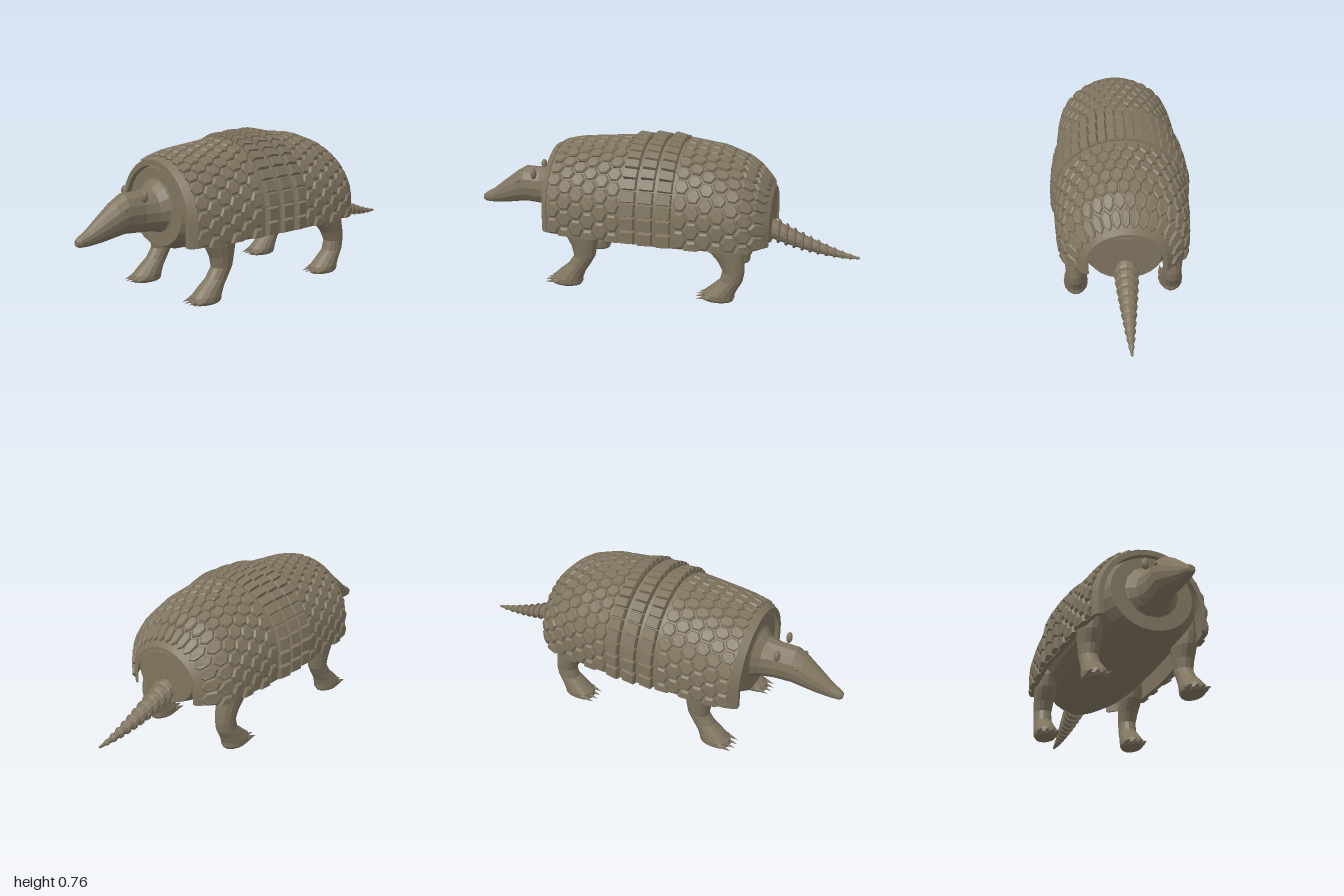
import * as THREE from 'three';
import { mergeGeometries } from 'three/addons/utils/BufferGeometryUtils.js';

const hide = new THREE.MeshStandardMaterial({ color: 0x7f745f });
hide.name = 'hideBrown';

const V = (x, y, z) => new THREE.Vector3(x, y, z);

// Closed faceted solid through a list of equal-length rings
function loft(rings) {
  const n = rings[0].length, pos = [];
  const tri = (a, b, c) => pos.push(...a.toArray(), ...b.toArray(), ...c.toArray());
  const quad = (a, b, c, d) => { tri(a, b, c); tri(a, c, d); };
  for (let k = 0; k < rings.length - 1; k++) {
    const A = rings[k], B = rings[k + 1];
    for (let i = 0; i < n; i++) {
      const j = (i + 1) % n;
      quad(A[i], A[j], B[j], B[i]);
    }
  }
  const first = rings[0], last = rings[rings.length - 1];
  for (let i = 0; i < n / 2 - 1; i++) {
    const p = n - 1 - i;
    quad(first[i], first[p], first[p - 1], first[i + 1]);
    quad(last[i], last[i + 1], last[p - 1], last[p]);
  }
  // Turn the faces outward
  let volume = 0;
  for (let i = 0; i < pos.length; i += 9) {
    volume += V(...pos.slice(i, i + 3)).dot(V(...pos.slice(i + 3, i + 6)).cross(V(...pos.slice(i + 6, i + 9))));
  }
  if (volume < 0) {
    for (let i = 0; i < pos.length; i += 9) {
      for (let k = 3; k < 6; k++) [pos[i + k], pos[i + k + 3]] = [pos[i + k + 3], pos[i + k]];
    }
  }
  const g = new THREE.BufferGeometry();
  g.setAttribute('position', new THREE.Float32BufferAttribute(pos, 3));
  g.computeVertexNormals();
  return g;
}

// Elliptical rings: upright ones facing z, or level ones facing y
const ring = (n, fn) => Array.from({ length: n }, (_, i) => {
  const a = (i / n) * Math.PI * 2;
  return fn(Math.cos(a), Math.sin(a));
});
const zRings = (rows, n) => rows.map(([z, y, rx, ry]) => ring(n, (c, s) => V(rx * c, y + ry * s, z)));
const yRings = (rows, x, n) => rows.map(([y, z, rx, rz]) => ring(n, (c, s) => V(x + rx * c, y, z + rz * s)));

// Shell profile: z, top height, half width
const PROFILE = [
  [0.57, 0.655, 0.26], [0.53, 0.67, 0.285], [0.45, 0.69, 0.295], [0.3, 0.705, 0.305], [0.14, 0.72, 0.312],
  [0, 0.73, 0.325], [-0.11, 0.725, 0.325], [-0.3, 0.7, 0.315], [-0.42, 0.655, 0.303], [-0.47, 0.62, 0.285],
  [-0.52, 0.57, 0.245], [-0.565, 0.515, 0.19],
];
const BASE = 0.283;

function profile(z) {
  let i = 0;
  while (i < PROFILE.length - 2 && z < PROFILE[i + 1][0]) i++;
  const [za, ta, wa] = PROFILE[i], [zb, tb, wb] = PROFILE[i + 1];
  const f = (z - za) / (zb - za);
  return [ta + (tb - ta) * f, wa + (wb - wa) * f];
}

// Arched shell surface; v runs -1..1 from one lower edge to the other
function arch(v, z) {
  const [top, w] = profile(z);
  const yc = BASE + 0.25 * (top - BASE);
  const th = v * (Math.PI / 2 + (yc - BASE) / w), a = Math.abs(th);
  if (a > Math.PI / 2) return V(Math.sign(v) * w, yc - (a - Math.PI / 2) * w, z);
  return V(w * Math.sin(th), yc + (top - yc) * Math.cos(th), z);
}

function onShell(v, z, off) {
  const dz = arch(v, z + 0.015).sub(arch(v, z - 0.015));
  const dv = arch(v + 0.01, z).sub(arch(v - 0.01, z));
  return arch(v, z).addScaledVector(dz.cross(dv).normalize(), off);
}

// Arched layer of the shell between two offsets
function shellLayer(zs, inner, outer, steps = 44) {
  const vs = Array.from({ length: steps + 1 }, (_, i) => -1 + (2 * i) / steps);
  const flat = (v, z, off) => onShell(v, z, off).setZ(z);
  return loft(zs.map((z) => [
    ...vs.map((v) => flat(v, z, outer)),
    ...vs.slice().reverse().map((v) => flat(v, z, inner)),
  ]));
}

// Plates grow larger toward the lower edges
const spread = (q) => q * (0.78 + 0.22 * q * q);
const clamp = THREE.MathUtils.clamp;

// Bevelled plate from an outline in shell coordinates
function plate(q, z, outline, zMin, zMax, height, topScale) {
  const level = (scale, h) => outline.map(([dq, dz]) => onShell(
    spread(clamp(q + dq * scale, -1, 1)), clamp(z + dz * scale, zMin, zMax), h(dz)));
  return loft([level(1, () => -0.008), level(1, (d) => height(d) * 0.45), level(topScale, height)]);
}

// Staggered hexagonal plates over one end of the shell
function hexField(z0, rows, spacing, zMin, zMax) {
  const list = [], count = 17, dq = 2 / count;
  const hex = [90, 150, 210, 270, 330, 30].map((d) => {
    const a = (d * Math.PI) / 180;
    return [Math.cos(a) * dq * 0.52, Math.sin(a) * spacing * 0.61];
  });
  for (let r = 0; r < rows; r++) {
    const odd = r % 2;
    for (let i = 0; i < count + odd; i++) {
      const q = -1 + dq * (i + (odd ? 0 : 0.5));
      list.push(plate(q, z0 - r * spacing, hex, zMin, zMax, () => 0.014, 0.78));
    }
  }
  return mergeGeometries(list);
}

// One ring of square plates, tipped up toward the front
function bandPlates(z) {
  const list = [], count = 23, h = 0.9 / count;
  const box = [[-h, -0.035], [h, -0.035], [h, 0.035], [-h, 0.035]];
  for (let i = 0; i < count; i++) {
    list.push(plate(-1 + (2 * (i + 0.5)) / count, z, box, -1, 1, (d) => 0.025 + d * 0.15, 0.86));
  }
  return mergeGeometries(list);
}

export function createModel() {
  const model = new THREE.Group();
  model.name = 'armadillo';
  const add = (name, geometry, parent = model) => {
    const mesh = new THREE.Mesh(geometry, hide);
    mesh.name = name;
    parent.add(mesh);
    return mesh;
  };
  const blob = (name, r, sx, sy, sz, x, y, z, parent = model) => {
    const mesh = add(name, new THREE.SphereGeometry(r, 10, 8), parent);
    mesh.scale.set(sx, sy, sz);
    mesh.position.set(x, y, z);
    return mesh;
  };

  // Soft body under the armour
  add('body', loft(zRings([
    [0.56, 0.435, 0.205, 0.19], [0.5, 0.432, 0.25, 0.205], [0.3, 0.43, 0.275, 0.21], [0, 0.43, 0.285, 0.213],
    [-0.3, 0.425, 0.28, 0.205], [-0.42, 0.415, 0.26, 0.185], [-0.5, 0.4, 0.225, 0.16], [-0.56, 0.37, 0.165, 0.125],
  ], 24)));

  // Armour
  add('shell', shellLayer(PROFILE.map((p) => p[0]), -0.02, 0));
  add('frontRim', shellLayer([0.57, 0.54], -0.022, 0.007));
  add('rearRim', shellLayer([-0.545, -0.565], -0.022, 0.006));
  add('frontPlates', hexField(0.5, 6, 0.0625, 0.15, 0.532));
  add('rearPlates', hexField(-0.15, 7, 0.0605, -0.545, -0.118));
  [0.105, 0.015, -0.075].forEach((z, i) => add('bandPlates' + (i + 1), bandPlates(z)));

  // Head with flared neck and tapering snout
  const head = new THREE.Group();
  head.name = 'head';
  model.add(head);
  add('skull', loft(zRings([
    [0.54, 0.455, 0.168, 0.165], [0.565, 0.442, 0.125, 0.125], [0.6, 0.43, 0.095, 0.105], [0.66, 0.428, 0.075, 0.099],
    [0.75, 0.432, 0.073, 0.096], [0.8, 0.413, 0.066, 0.085], [0.87, 0.38, 0.05, 0.064], [0.94, 0.348, 0.033, 0.039],
    [0.985, 0.335, 0.024, 0.025], [1, 0.333, 0.014, 0.015],
  ], 14)), head);
  for (const s of [1, -1]) {
    blob('ear', 0.03, 0.66, 1, 0.5, s * 0.08, 0.515, 0.68, head);
    blob('eye', 0.01, 0.9, 1, 1.1, s * 0.07, 0.465, 0.775, head);
    blob('nostril', 0.006, 1, 1, 1, s * 0.013, 0.343, 0.99, head);
  }

  // Ringed tail
  const tailRows = [[-0.54, 0.312, 0.057, 0.057]];
  const joints = 11;
  for (let i = 0; i < joints; i++) {
    const at = (f, k) => {
      const t = (i + f) / joints, r = (0.05 * (1 - t) ** 0.85 + 0.004) * k;
      return [-0.56 - 0.44 * t, 0.188 + 0.118 * (1 - t) ** 1.5, r, r];
    };
    tailRows.push(at(0.05, 0.95), at(0.65, 0.95), at(0.7, 1.22), at(0.93, 1.17));
  }
  tailRows.push([-1, 0.188, 0.001, 0.001]);
  add('tail', loft(zRings(tailRows, 12)));

  // Legs: height, z, half width, half depth
  const frontRows = [
    [0.4, 0.37, 0.05, 0.09], [0.33, 0.37, 0.058, 0.095], [0.27, 0.367, 0.058, 0.086], [0.21, 0.357, 0.051, 0.065],
    [0.16, 0.357, 0.046, 0.055], [0.11, 0.388, 0.047, 0.057], [0.07, 0.425, 0.054, 0.068], [0.035, 0.45, 0.061, 0.08],
    [0.012, 0.455, 0.06, 0.083], [0, 0.455, 0.05, 0.076],
  ];
  const hindRows = [
    [0.4, -0.34, 0.05, 0.09], [0.33, -0.345, 0.058, 0.097], [0.27, -0.36, 0.058, 0.088], [0.21, -0.393, 0.051, 0.066],
    [0.16, -0.408, 0.046, 0.055], [0.11, -0.398, 0.047, 0.057], [0.07, -0.365, 0.054, 0.068], [0.035, -0.337, 0.061, 0.08],
    [0.012, -0.333, 0.06, 0.083], [0, -0.333, 0.05, 0.076],
  ];
  for (const [name, rows, toeZ] of [['frontLeg', frontRows, 0.51], ['hindLeg', hindRows, -0.278]]) {
    for (const s of [1, -1]) {
      const leg = new THREE.Group();
      leg.name = name + (s > 0 ? 'Left' : 'Right');
      model.add(leg);
      add('limb', loft(yRings(rows, s * 0.24, 14)), leg);
      // Toes and claws
      for (const d of [-0.045, -0.015, 0.015, 0.045]) {
        const x = s * 0.24 + d, z = toeZ - Math.abs(d) * 0.3;
        blob('toe', 0.016, 0.85, 0.9, 1.3, x, 0.02, z, leg);
        const claw = add('claw', new THREE.ConeGeometry(0.011, 0.055, 7), leg);
        claw.rotation.x = Math.PI / 2 + 0.18;
        claw.position.set(x, 0.016, z + 0.035);
      }
    }
  }
  return model;
}
